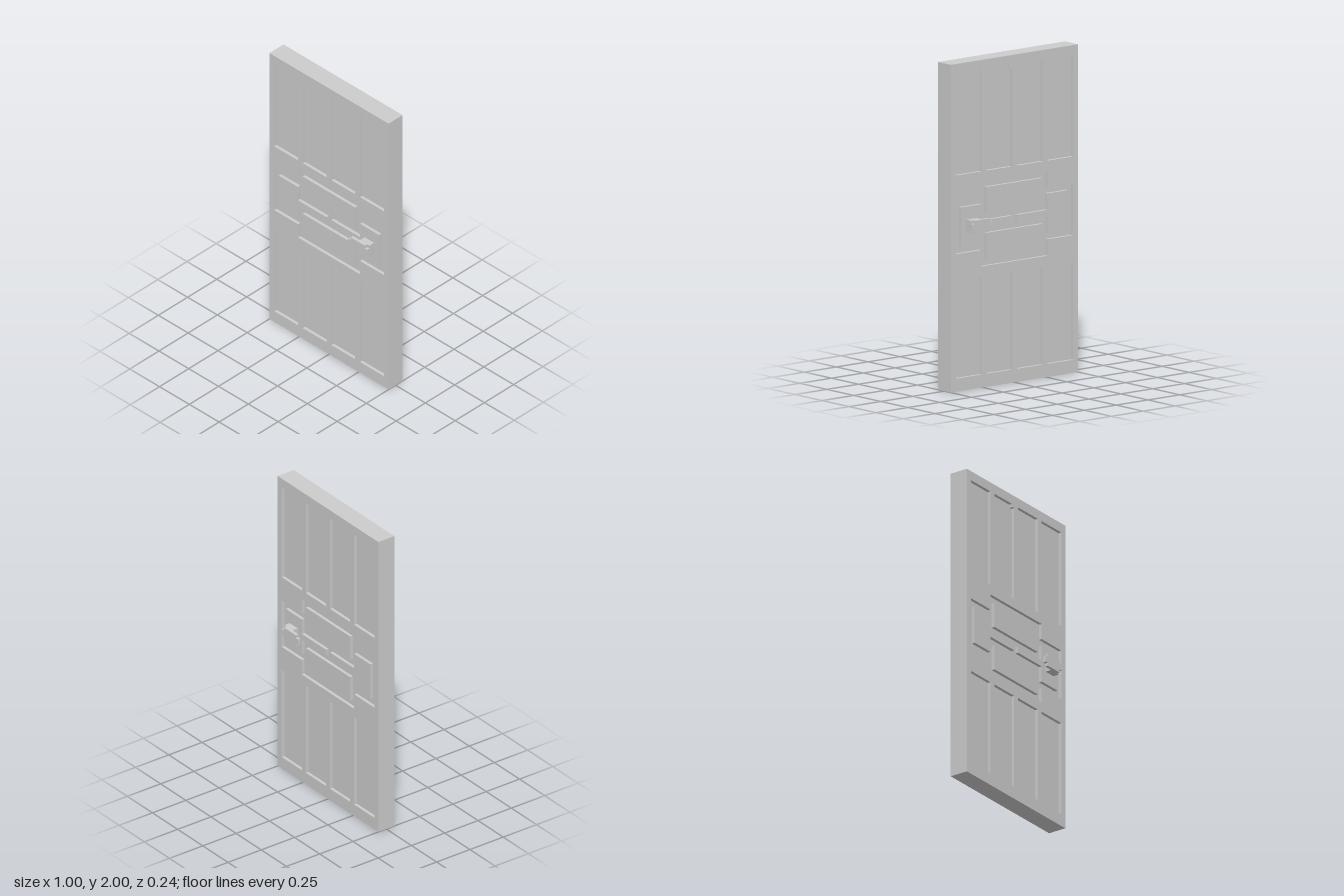
import * as THREE from 'three';

const material = new THREE.MeshStandardMaterial({ color: 0xcccccc, flatShading: true });

// Closed outline from [x, y] corners
const outline = (pts, Type = THREE.Shape) => new Type(pts.map(([x, y]) => new THREE.Vector2(x, y)));
const rect = (x0, y0, x1, y1) => [[x0, y0], [x1, y0], [x1, y1], [x0, y1]];

function extrude(name, shapes, z, depth) {
  const geo = new THREE.ExtrudeGeometry(shapes, { depth, bevelEnabled: false });
  const mesh = new THREE.Mesh(geo, material);
  mesh.position.z = z;
  mesh.name = name;
  return mesh;
}

function box(name, w, h, d, x, y, z) {
  const mesh = new THREE.Mesh(new THREE.BoxGeometry(w, h, d), material);
  mesh.position.set(x, y, z);
  mesh.name = name;
  return mesh;
}

// One carved face of the door, 0.02 thick
function createFacing(name) {
  const group = new THREE.Group();
  group.name = name;

  // Frame with two rows of sunk panels and a cross-shaped recess
  const frame = outline(rect(-0.5, 0, 0.5, 2));
  for (const x of [-0.46, -0.22, 0.02, 0.26]) {
    frame.holes.push(outline(rect(x, 0.08, x + 0.2, 0.68), THREE.Path));
    // one upper panel has a small stepped corner
    const upper = x === -0.22
      ? [[x, 1.32], [-0.02, 1.32], [-0.02, 1.92], [-0.04, 1.92], [-0.04, 1.94], [x, 1.94]]
      : rect(x, 1.32, x + 0.2, 1.94);
    frame.holes.push(outline(upper, THREE.Path));
  }
  frame.holes.push(outline([
    [-0.46, 0.84], [-0.26, 0.84], [-0.26, 0.74], [0.26, 0.74], [0.26, 0.84], [0.46, 0.84],
    [0.46, 1.16], [0.26, 1.16], [0.26, 1.26], [-0.26, 1.26], [-0.26, 1.16], [-0.46, 1.16],
  ], THREE.Path));
  group.add(extrude('frame', frame, 0.04, 0.02));

  // Raised fields inside the cross-shaped recess
  group.add(extrude('upperField', outline(rect(-0.22, 1.06, 0.22, 1.22)), 0.04, 0.02));
  group.add(extrude('lowerField', outline(rect(-0.22, 0.78, 0.22, 0.94)), 0.04, 0.02));
  for (const s of [-1, 1]) {
    // side field with a thin bar reaching toward the middle
    const pts = [
      [0.02, 0.98], [0.26, 0.98], [0.26, 0.88], [0.42, 0.88],
      [0.42, 1.12], [0.26, 1.12], [0.26, 1.02], [0.02, 1.02],
    ].map(([x, y]) => [s * x, y]);
    group.add(extrude(s > 0 ? 'leftField' : 'rightField', outline(pts), 0.04, 0.02));
  }
  return group;
}

// Handle: square stem and a grip plate with notched corners
function createHandle(name, side) {
  const group = new THREE.Group();
  group.name = name;
  group.add(box('handleStem', 0.08, 0.08, 0.04, 0.34, 1, side * 0.08));
  const plate = outline([
    [0.22, 0.98], [0.24, 0.98], [0.24, 0.96], [0.36, 0.96], [0.36, 0.98], [0.38, 0.98],
    [0.38, 1.02], [0.36, 1.02], [0.36, 1.04], [0.24, 1.04], [0.24, 1.02], [0.22, 1.02],
  ]);
  group.add(extrude('handleGrip', plate, side > 0 ? 0.1 : -0.12, 0.02));
  return group;
}

export function createModel() {
  const door = new THREE.Group();
  door.name = 'door';
  door.add(box('core', 1, 2, 0.08, 0, 1, 0));

  const back = createFacing('backFacing');
  back.rotation.y = Math.PI;
  door.add(createFacing('frontFacing'), back);

  door.add(createHandle('frontHandle', 1), createHandle('backHandle', -1));
  return door;
}
